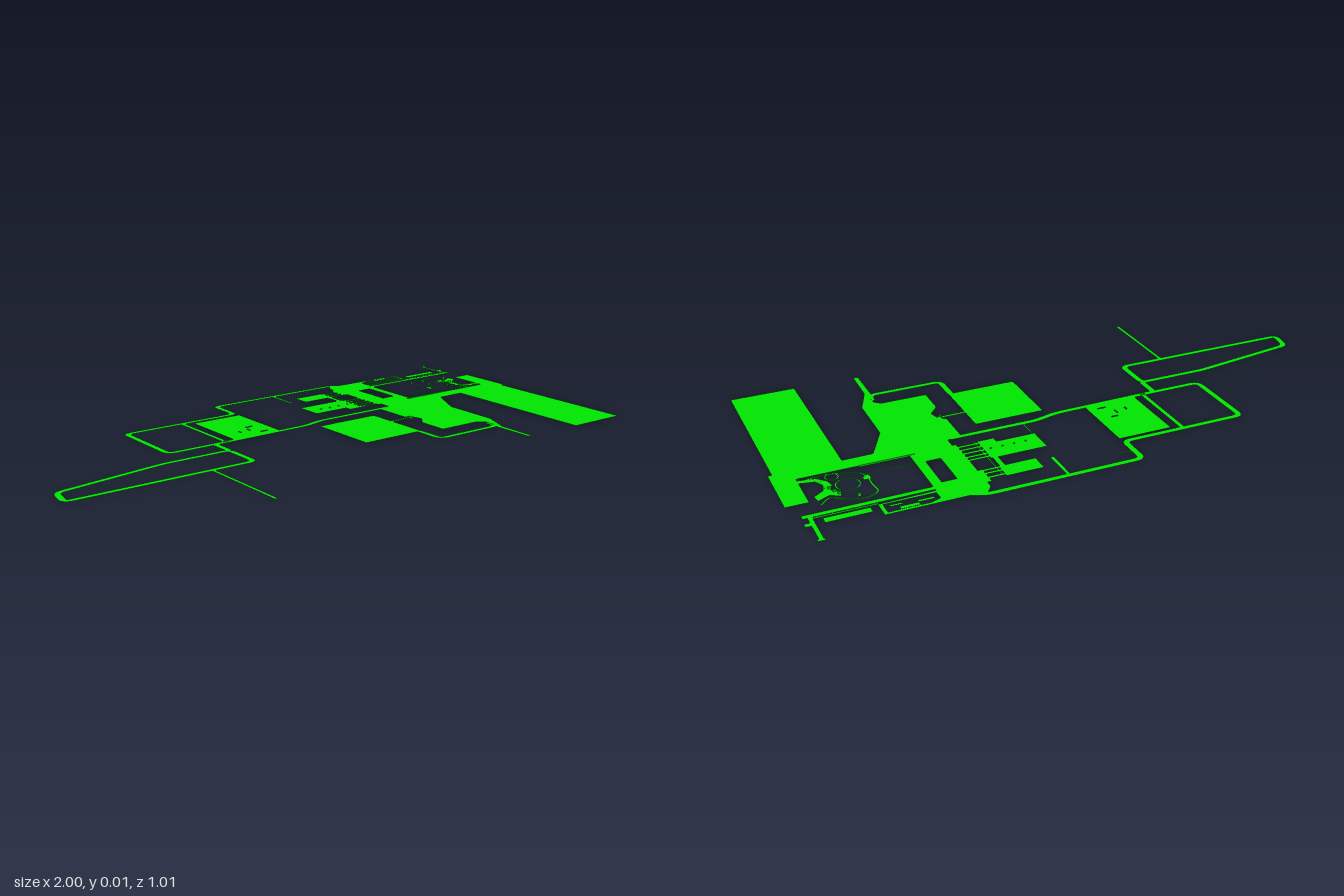
import * as THREE from 'three';

const LEVEL = 0.004;
const green = new THREE.MeshStandardMaterial({ color: 0x00e300, side: THREE.DoubleSide });

// Plan points are [x, z]
const toPlan = pts => pts.map(([x, z]) => new THREE.Vector2(x, -z));
const rect = (x0, z0, x1, z1) => [[x0, z0], [x1, z0], [x1, z1], [x0, z1]];
const circle = (cx, cz, r, n = 28) => Array.from({ length: n }, (_, i) => {
  const a = i / n * Math.PI * 2;
  return [cx + r * Math.cos(a), cz + r * Math.sin(a)];
});

function add(group, name, geometry) {
  const mesh = new THREE.Mesh(geometry, green);
  mesh.name = name;
  group.add(mesh);
}

// Flat paved area with optional openings
function area(group, name, outline, holes = []) {
  const shape = new THREE.Shape(toPlan(outline));
  shape.holes = holes.map(h => new THREE.Path(toPlan(h)));
  add(group, name, new THREE.ShapeGeometry(shape).rotateX(-Math.PI / 2).translate(0, LEVEL, 0));
}

// Replaces each corner of a polyline by a small quadratic bend
function roundCorners(pts, radius, closed) {
  const v = pts.map(p => new THREE.Vector2(...p)), n = v.length, out = [];
  v.forEach((p, i) => {
    if (!closed && (i === 0 || i === n - 1)) return out.push(p);
    const a = v[(i + n - 1) % n], b = v[(i + 1) % n];
    const cut = q => p.clone().lerp(q, Math.min(0.45, radius / p.distanceTo(q)));
    out.push(...new THREE.QuadraticBezierCurve(cut(a), p, cut(b)).getPoints(6));
  });
  return out;
}

// Flat road of constant width along a polyline
function road(group, name, pts, width = 0.021, { closed = false, radius = 0.025 } = {}) {
  const path = roundCorners(pts, radius, closed), n = path.length;
  const pos = [], index = [];
  path.forEach((p, i) => {
    const prev = closed ? path[(i + n - 1) % n] : path[Math.max(i - 1, 0)];
    const next = closed ? path[(i + 1) % n] : path[Math.min(i + 1, n - 1)];
    const d0 = p.clone().sub(prev).normalize(), d1 = next.clone().sub(p).normalize();
    const t = d0.clone().add(d1).normalize();
    const d = d1.lengthSq() > 0 ? d1 : d0;
    const w = width / 2 / Math.max(0.5, Math.abs(t.dot(d)));
    pos.push(p.x - t.y * w, LEVEL, p.y + t.x * w, p.x + t.y * w, LEVEL, p.y - t.x * w);
    if (i < n - 1 || closed) {
      const a = 2 * i, b = 2 * ((i + 1) % n);
      index.push(a, b, a + 1, b, b + 1, a + 1);
    }
  });
  const g = new THREE.BufferGeometry();
  g.setAttribute('position', new THREE.Float32BufferAttribute(pos, 3));
  g.setIndex(index);
  g.computeVertexNormals();
  add(group, name, g);
}

// Low kerb or marker block
function kerb(group, name, x, z, w, d, h) {
  add(group, name, new THREE.BoxGeometry(w, h, d).translate(x, h / 2, z));
}

export function createModel() {
  const model = new THREE.Group();
  model.name = 'sitePlan';
  const section = name => {
    const g = new THREE.Group();
    g.name = name;
    model.add(g);
    return g;
  };

  // Western roads
  const west = section('westRoads');
  road(west, 'taperedLoop', [[-0.996, 0.168], [-0.98, 0.083], [-0.59, 0.024], [-0.345, 0.024], [-0.345, 0.168]], 0.021, { closed: true });
  road(west, 'southSpur', [[-0.501, 0.17], [-0.501, 0.506]], 0.012);
  road(west, 'linkRoad', [[-0.345, 0.025], [-0.345, -0.06]]);
  road(west, 'perimeterRoad', [[0.41, -0.088], [0.11, -0.088], [0.03, -0.067], [-0.29, -0.062], [-0.518, -0.062],
    [-0.518, -0.34], [-0.083, -0.34], [-0.083, -0.464], [0.44, -0.464], [0.5, -0.43]]);
  road(west, 'crossRoad', [[-0.3, -0.34], [-0.3, -0.062]], 0.016);
  road(west, 'northStub', [[0.169, -0.46], [0.169, -0.337]], 0.012);
  road(west, 'shortStub', [[-0.08, -0.406], [-0.038, -0.406]], 0.006);

  // Yards
  const yards = section('yards');
  area(yards, 'westYard', rect(-0.265, -0.32, -0.077, -0.06),
    [rect(-0.15, -0.172, -0.125, -0.168), rect(-0.2, -0.14, -0.196, -0.125), rect(-0.14, -0.1, -0.11, -0.096),
      rect(-0.16, -0.15, -0.156, -0.13)]);
  area(yards, 'southYard', rect(0.06, -0.031, 0.3, 0.222));
  area(yards, 'northPad', rect(0.218, -0.388, 0.342, -0.322));
  area(yards, 'middlePad', [[0.152, -0.267], [0.342, -0.267], [0.342, -0.144], [0.285, -0.144], [0.285, -0.168], [0.152, -0.168]]);
  area(yards, 'padLink', rect(0.32, -0.325, 0.338, -0.264));
  road(yards, 'padFootpath', [[0.16, -0.17], [0.16, -0.1]], 0.004);

  // Short bays between pads and central apron
  const bays = section('bays');
  for (const z of [-0.374, -0.348, -0.328, -0.25, -0.23, -0.205, -0.18, -0.157])
    area(bays, 'bay', rect(0.338, z - 0.006, 0.415, z + 0.006));
  area(bays, 'bayWalk', rect(0.349, -0.376, 0.353, -0.14));
  area(bays, 'bayCorner', rect(0.395, -0.4, 0.415, -0.32));

  // Central apron, its wings and the long eastern field
  const apron = section('apron');
  area(apron, 'centralApron', [
    [0.41, -0.425], [0.44, -0.469], [0.475, -0.451], [0.748, -0.451], [0.748, -0.385], [0.567, -0.38],
    [0.567, -0.14], [0.925, -0.14], [0.925, -0.29], [0.998, -0.29], [0.998, -0.084], [0.665, -0.081],
    [0.602, 0.044], [0.6, 0.244], [0.56, 0.344], [0.557, 0.484], [0.54, 0.484], [0.54, 0.334], [0.552, 0.314],
    [0.552, 0.27], [0.53, 0.25], [0.372, 0.25], [0.372, 0.144], [0.405, 0.104], [0.395, 0.064], [0.372, 0.049],
    [0.372, -0.095], [0.422, -0.095], [0.422, -0.135], [0.41, -0.135]
  ], [
    rect(0.485, -0.34, 0.534, -0.2),
    [[0.57, -0.426], [0.6, -0.439], [0.735, -0.439], [0.735, -0.393], [0.57, -0.393]]
  ]);
  area(apron, 'eastField', rect(0.766, -0.088, 0.985, 0.49));
  road(apron, 'southLoop', [[0.292, 0.215], [0.292, 0.326], [0.548, 0.326], [0.552, 0.28]]);
  road(apron, 'yardLink', [[0.297, 0.067], [0.4, 0.067]], 0.012);

  // Northeastern roads and pads
  const north = section('northEast');
  road(north, 'northEastRoad', [[0.56, -0.365], [0.968, -0.365]], 0.02);
  road(north, 'northSpur', [[0.947, -0.506], [0.947, -0.362]], 0.014);
  area(north, 'spurHead', rect(0.937, -0.508, 0.96, -0.496));
  area(north, 'spurBay', rect(0.945, -0.421, 0.972, -0.402));
  area(north, 'longPad', rect(0.772, -0.419, 0.914, -0.391));
  road(north, 'padEdge', [[0.745, -0.381], [0.95, -0.381]], 0.008);
  for (const [x, z, w, d] of [[0.61, -0.416, 0.05, 0.012], [0.665, -0.43, 0.06, 0.016], [0.7, -0.408, 0.04, 0.01]])
    area(north, 'smallPad', rect(x - w / 2, z - d / 2, x + w / 2, z + d / 2));

  // Ornamental garden: winding paths, rings and a curved plaza
  const garden = section('garden');
  road(garden, 'gardenLoop', [[0.722, -0.2], [0.727, -0.265], [0.717, -0.315], [0.77, -0.338], [0.835, -0.311],
    [0.86, -0.281], [0.9, -0.321]], 0.006);
  road(garden, 'lowerWalk', [[0.722, -0.225], [0.737, -0.18], [0.79, -0.16], [0.85, -0.146], [0.92, -0.16]], 0.006);
  road(garden, 'fineWalk', [[0.57, -0.198], [0.717, -0.198]], 0.004);
  road(garden, 'largeRing', circle(0.792, -0.234, 0.037), 0.005, { closed: true, radius: 0.003 });
  road(garden, 'smallRing', circle(0.824, -0.17, 0.02), 0.005, { closed: true, radius: 0.002 });
  area(garden, 'plaza', [[0.83, -0.295], [0.86, -0.275], [0.9, -0.295], [0.905, -0.265], [0.87, -0.24], [0.862, -0.21],
    [0.877, -0.18], [0.925, -0.17], [0.925, -0.15], [0.87, -0.16], [0.842, -0.19], [0.837, -0.22], [0.847, -0.245], [0.822, -0.265]]);
  area(garden, 'sidePatch', rect(0.717, -0.23, 0.74, -0.208));

  // Low kerbs
  const kerbs = section('kerbs');
  kerb(kerbs, 'apronKerb', 0.64, -0.139, 0.18, 0.003, 0.006);
  kerb(kerbs, 'crossKerb', -0.3, -0.066, 0.016, 0.004, 0.008);
  kerb(kerbs, 'linkKerb', 0.385, 0.072, 0.003, 0.014, 0.009);
  kerb(kerbs, 'southKerb', 0.552, 0.29, 0.002, 0.035, 0.005);
  kerb(kerbs, 'plazaKerb', 0.862, -0.19, 0.002, 0.08, 0.005);
  for (const [x, z] of [[0.84, -0.258], [0.85, -0.236], [0.83, -0.276], [0.78, -0.31]])
    kerb(kerbs, 'gardenMarker', x, z, 0.01, 0.005, 0.011);
  for (const x of [0.2, 0.24, 0.28, 0.32])
    kerb(kerbs, 'padMarker', x, -0.206, 0.006, 0.004, 0.007);

  return model;
}
